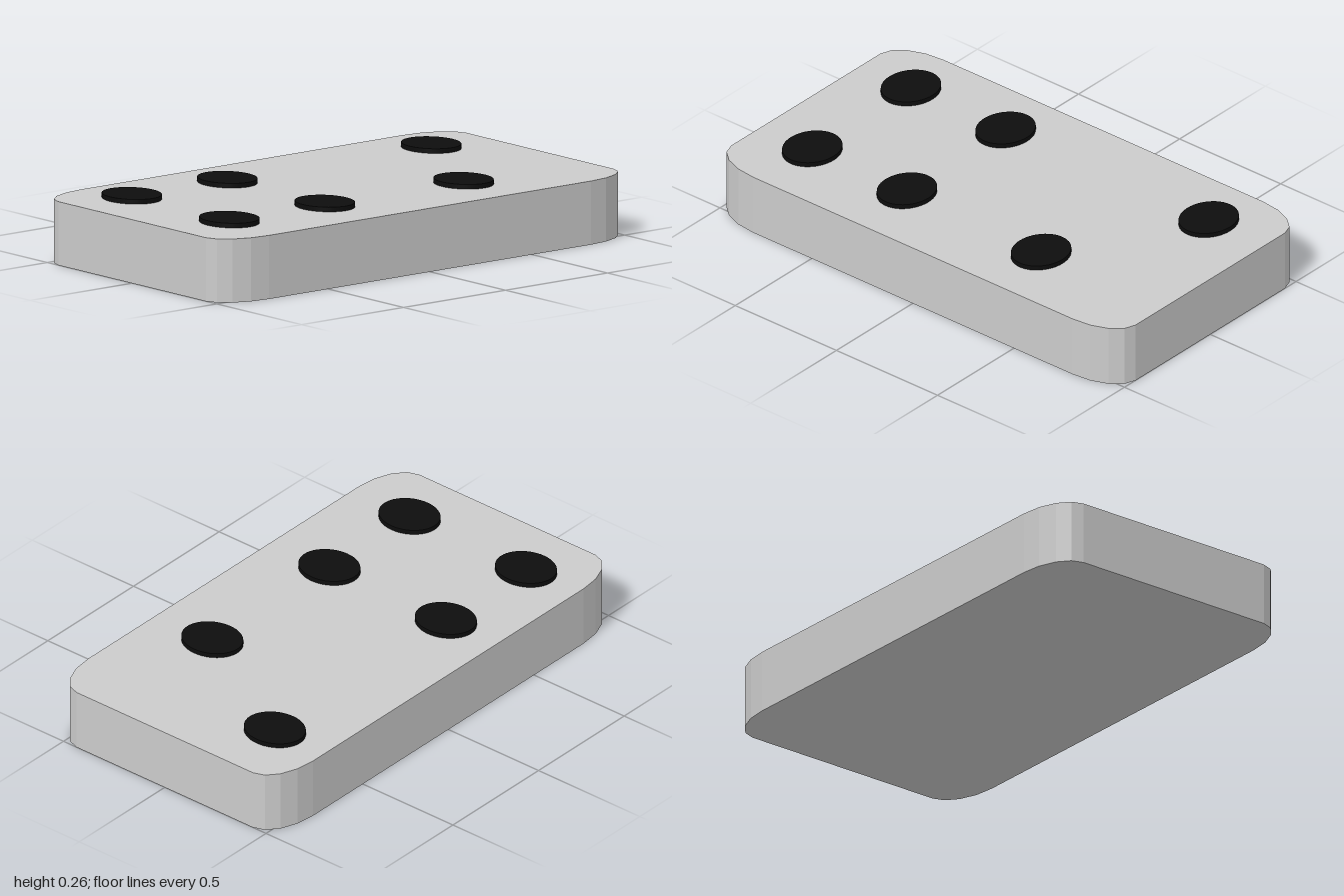
import * as THREE from 'three';

const HALF_X = 1, HALF_Z = 0.555, BODY_H = 0.245;
const CORNER_X = 0.21, CORNER_Z = 0.12, CORNER_STEPS = 4;
const DISC_H = 0.018;

// Rectangle outline with faceted elliptical corners
function slabOutline() {
  const points = [];
  const signs = [[1, 1], [-1, 1], [-1, -1], [1, -1]];
  signs.forEach(([sx, sz], corner) => {
    for (let i = 0; i <= CORNER_STEPS; i++) {
      const a = (corner + i / CORNER_STEPS) * Math.PI / 2;
      points.push(new THREE.Vector2(
        sx * (HALF_X - CORNER_X) + CORNER_X * Math.cos(a),
        sz * (HALF_Z - CORNER_Z) + CORNER_Z * Math.sin(a)));
    }
  });
  return new THREE.Shape(points);
}

export function createModel() {
  const model = new THREE.Group();
  model.name = 'spottedSlab';

  // Slab body, extruded upward
  const bodyGeometry = new THREE.ExtrudeGeometry(slabOutline(), { depth: BODY_H, bevelEnabled: false });
  bodyGeometry.rotateX(-Math.PI / 2);
  const body = new THREE.Mesh(bodyGeometry,
    new THREE.MeshStandardMaterial({ color: 0xcccccc, flatShading: true }));
  body.name = 'slabBody';
  model.add(body);

  // Thin oval discs resting on the top face
  const discGeometry = new THREE.CylinderGeometry(1, 1, DISC_H, 48);
  discGeometry.scale(0.106, 1, 0.124);
  const discMaterial = new THREE.MeshStandardMaterial({ color: 0x0d0d0d });
  const spots = [
    [-0.743, -0.31], [-0.275, -0.31], [0.727, -0.313],
    [-0.743, 0.265], [-0.275, 0.265], [0.397, 0.275],
  ];
  spots.forEach(([x, z], i) => {
    const disc = new THREE.Mesh(discGeometry, discMaterial);
    disc.name = `spotDisc${i + 1}`;
    disc.position.set(x, BODY_H + DISC_H / 2, z);
    model.add(disc);
  });

  return model;
}
